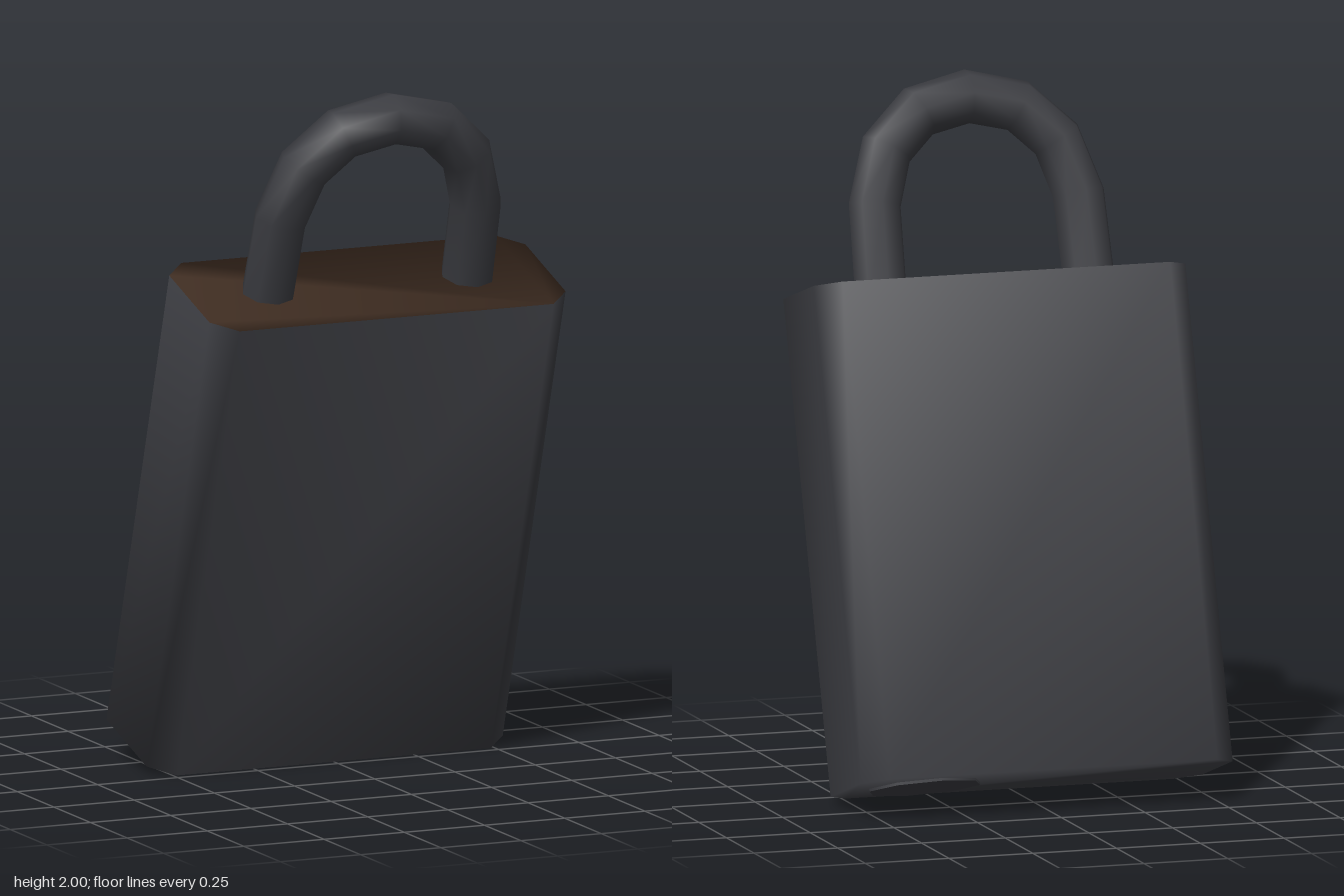
import * as THREE from 'three';

const W = 0.555, D = 0.21, H = 1.426, CH = 0.066;

// Straight-segment path whose parameter steps evenly from point to point
class Polyline extends THREE.Curve {
  constructor(points) {
    super();
    this.points = points;
  }
  getPoint(t, target = new THREE.Vector3()) {
    const n = this.points.length - 1;
    const i = Math.min(Math.floor(t * n), n - 1);
    return target.lerpVectors(this.points[i], this.points[i + 1], t * n - i);
  }
  getPointAt(u, target) { return this.getPoint(u, target); }
  getTangentAt(u, target) { return this.getTangent(u, target); }
}

// Chamfered block with normals shared over all faces; group 1 is the top
function blockGeometry() {
  const c = W - CH, d = D - CH;
  const ring = [[c, D], [W, d], [W, -d], [c, -D], [-c, -D], [-W, -d], [-W, d], [-c, D]];
  const n = ring.length, positions = [], index = [];
  for (const y of [0, H]) for (const [x, z] of ring) positions.push(x, y, z);
  for (let i = 0; i < n; i++) {
    const j = (i + 1) % n;
    index.push(i, j, n + j, i, n + j, n + i);
  }
  for (let i = 1; i < n - 1; i++) index.push(0, i + 1, i);
  const topStart = index.length;
  for (let i = 1; i < n - 1; i++) index.push(n, n + i, n + i + 1);

  const geo = new THREE.BufferGeometry();
  geo.setAttribute('position', new THREE.Float32BufferAttribute(positions, 3));
  geo.setIndex(index);
  geo.addGroup(0, topStart, 0);
  geo.addGroup(topStart, index.length - topStart, 1);
  geo.computeVertexNormals();
  return geo;
}

export function createModel() {
  const steel = new THREE.MeshStandardMaterial({ color: 0x3b3c41 });
  steel.name = 'dark steel';
  const brown = new THREE.MeshStandardMaterial({ color: 0x433024 });
  brown.name = 'dark brown';

  const model = new THREE.Group();
  model.name = 'padlock';

  // Everything leans forward together
  const lock = new THREE.Group();
  lock.name = 'leaningLock';
  lock.position.set(0, 0.065, -0.23);
  lock.rotation.x = 0.306;
  model.add(lock);

  const body = new THREE.Mesh(blockGeometry(), [steel, brown]);
  body.name = 'lockBody';
  lock.add(body);

  // Shackle: mirrored half profile, ends sunk into the body
  const half = [[0.312, -0.06], [0.304, 0.236], [0.254, 0.393], [0.148, 0.495]];
  const path = [
    ...half,
    [0, 0.53],
    ...half.slice().reverse().map(([x, y]) => [-x, y]),
  ].map(([x, y]) => new THREE.Vector3(x, H + y, 0));
  const shackle = new THREE.Mesh(
    new THREE.TubeGeometry(new Polyline(path), path.length - 1, 0.077, 8, false), steel);
  shackle.name = 'shackle';
  lock.add(shackle);

  // Key cylinder, just proud of the underside
  const plug = new THREE.Mesh(new THREE.CylinderGeometry(0.165, 0.165, 0.03, 8), steel);
  plug.name = 'keyCylinder';
  plug.position.set(0.32, 0.007, 0);
  lock.add(plug);

  return model;
}
